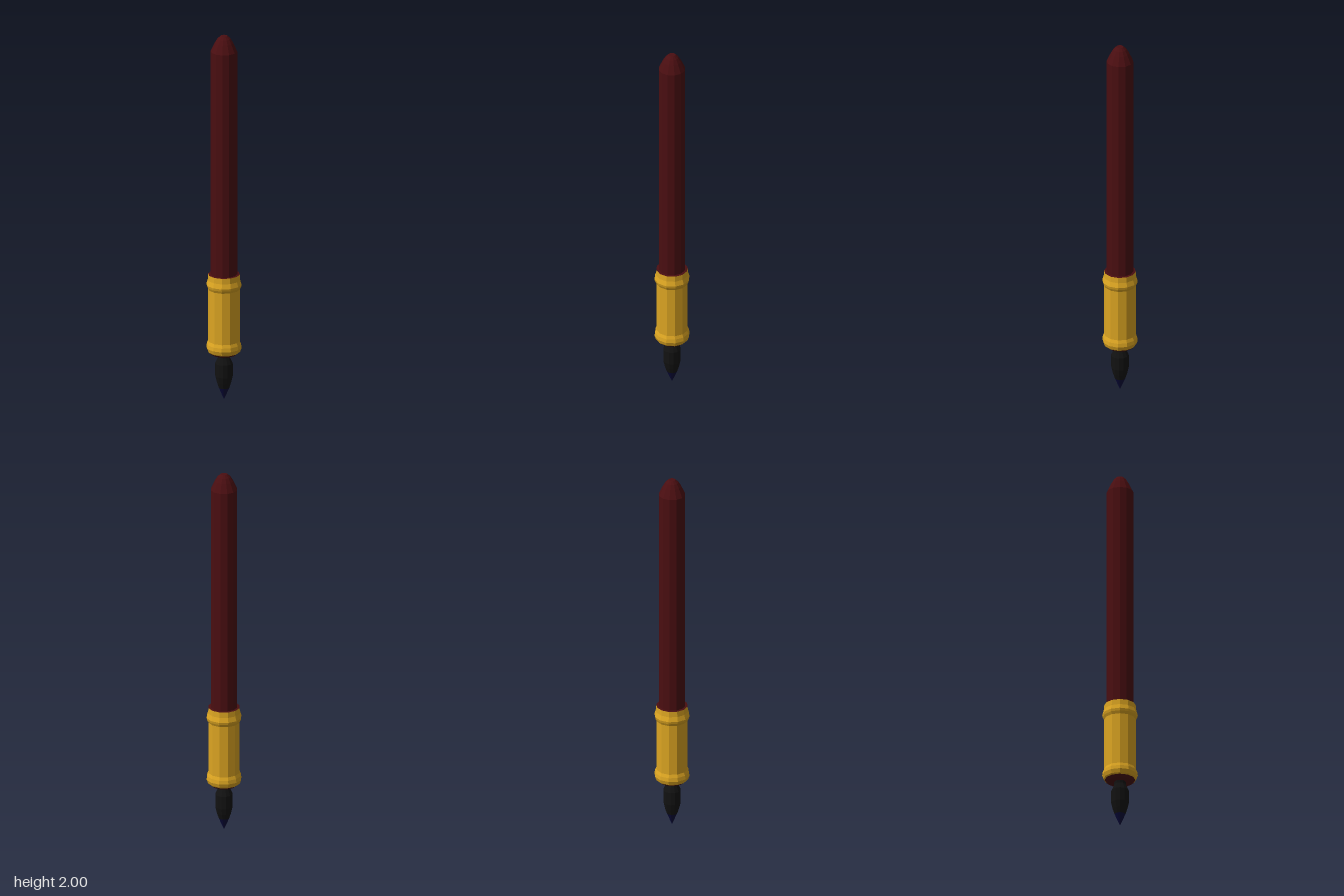
import * as THREE from 'three';

const material = (name, color) => {
  const m = new THREE.MeshStandardMaterial({ color, flatShading: true });
  m.name = name;
  return m;
};

export function createModel() {
  const brush = new THREE.Group();
  brush.name = 'paintBrush';
  const lacquer = material('dark red lacquer', 0x4a0e11);
  const gold = material('gold', 0xdca522);
  const hair = material('black bristle', 0x121212);
  const ink = material('dark blue ink', 0x06063a);

  // Every part is a twelve-sided turned profile of [radius, height], bottom to top
  const turn = (name, mat, profile) => {
    const points = profile.map(([r, y]) => new THREE.Vector2(r, y));
    const mesh = new THREE.Mesh(new THREE.LatheGeometry(points, 12), mat);
    mesh.name = name;
    brush.add(mesh);
  };

  // Handle with rounded end
  turn('handle', lacquer, [
    [0.07, 0.69], [0.07, 1.915], [0.048, 1.962], [0.034, 1.985], [0.018, 2], [0, 2],
  ]);

  // Metal sleeve with a bead near each end
  turn('ferrule', gold, [
    [0.08, 0.262], [0.086, 0.268], [0.093, 0.288], [0.09, 0.308], [0.083, 0.325],
    [0.083, 0.608], [0.09, 0.622], [0.093, 0.635], [0.085, 0.66], [0.083, 0.69],
  ]);

  // Red plugs closing the sleeve
  turn('ferruleTopCap', lacquer, [[0.083, 0.69], [0.07, 0.691]]);
  turn('ferruleBottomCap', lacquer, [[0, 0.25], [0.065, 0.25], [0.08, 0.262]]);

  // Bristles with an ink-dipped tip
  turn('bristles', hair, [
    [0.028, 0.065], [0.038, 0.095], [0.046, 0.13], [0.046, 0.2], [0.03, 0.235], [0.03, 0.252],
  ]);
  turn('inkedTip', ink, [[0, 0], [0.013, 0.03], [0.028, 0.065]]);

  return brush;
}
